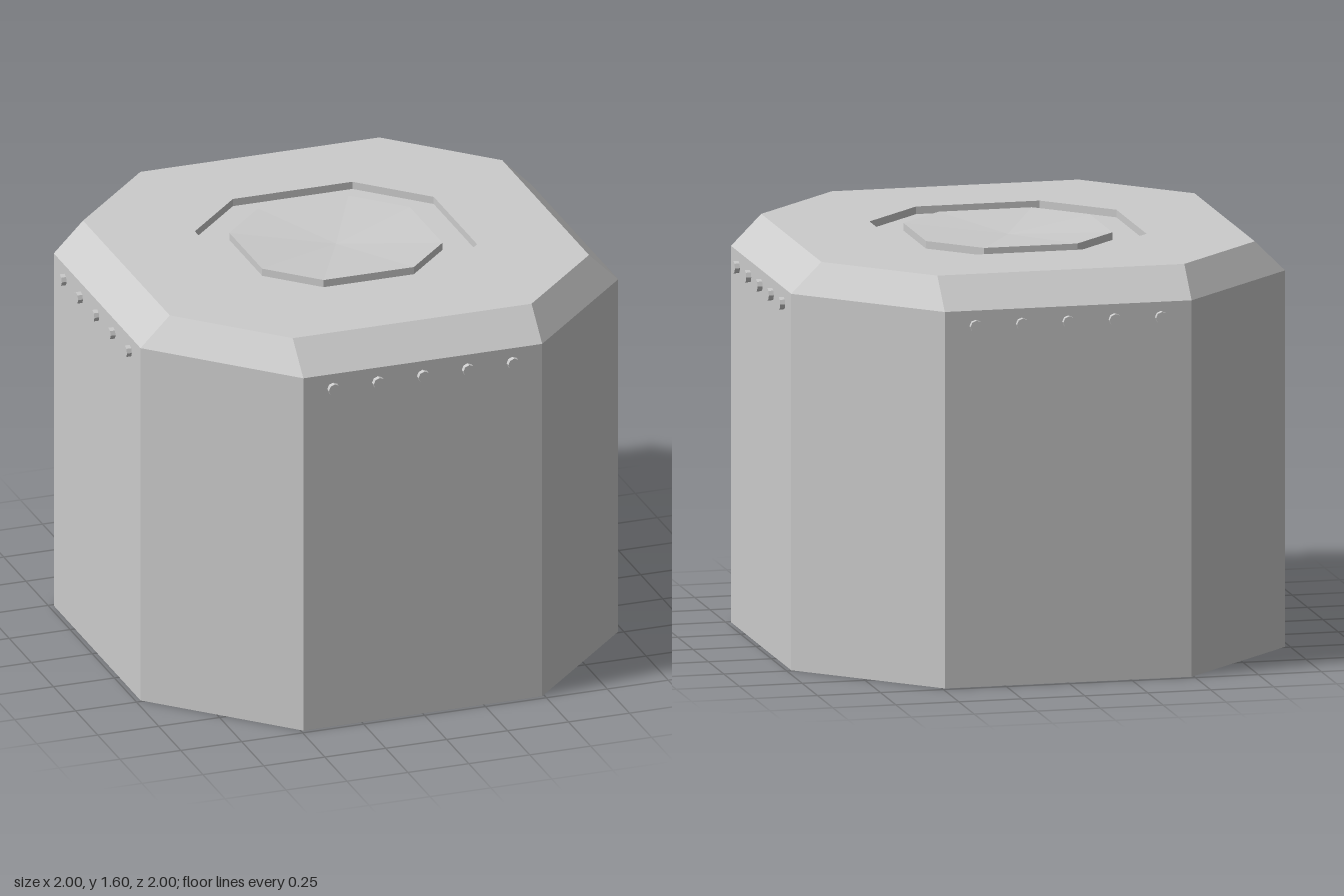
import * as THREE from 'three';

const material = new THREE.MeshStandardMaterial({ color: 0xcccccc, flatShading: true, side: THREE.DoubleSide });

// Octagon ring: flats at distance `half`, corners at +-`corner` along each flat
function ring([half, corner, y]) {
  const h = half, c = corner;
  return [[-c, h], [c, h], [h, c], [h, -c], [c, -h], [-c, -h], [-h, -c], [-h, c]].map(([x, z]) => [x, y, z]);
}

// Skin a series of octagon rings with flat panels
function loft(name, profile) {
  const rings = profile.map(ring);
  const positions = [];
  for (let r = 0; r < rings.length - 1; r++) {
    const collapsed = profile[r + 1][0] === 0;
    for (let i = 0; i < 8; i++) {
      const j = (i + 1) % 8;
      const a = rings[r][i], b = rings[r][j], c = rings[r + 1][j], d = rings[r + 1][i];
      positions.push(...a, ...b, ...c);
      if (!collapsed) positions.push(...a, ...c, ...d);
    }
  }
  const geometry = new THREE.BufferGeometry();
  geometry.setAttribute('position', new THREE.Float32BufferAttribute(positions, 3));
  geometry.computeVertexNormals();
  const mesh = new THREE.Mesh(geometry, material);
  mesh.name = name;
  return mesh;
}

export function createModel() {
  const model = new THREE.Group();
  model.name = 'octagonalHousing';

  // Thin outer wall, open at the bottom
  model.add(loft('outerWall', [[0.98, 0.49, 0], [0.98, 0.49, 1.48]]));

  // Bevelled lid with a sunken groove
  model.add(loft('lid', [
    [0.98, 0.49, 1.48], [0.86, 0.49, 1.6], [0.49, 0.245, 1.6], [0.49, 0.245, 1.57], [0.37, 0.185, 1.57],
  ]));

  // Central plug with a shallow dished top
  model.add(loft('centrePlug', [[0.37, 0.185, 1.57], [0.37, 0.185, 1.6], [0, 0, 1.575]]));

  // Rows of rivets on the four main sides
  const rivetGeometry = new THREE.CylinderGeometry(0.024, 0.024, 0.03, 8).rotateX(Math.PI / 2);
  for (let side = 0; side < 4; side++) {
    const row = new THREE.Group();
    row.name = 'rivetRow';
    row.rotation.y = side * Math.PI / 2;
    for (let i = -2; i <= 2; i++) {
      const rivet = new THREE.Mesh(rivetGeometry, material);
      rivet.name = 'rivet';
      rivet.position.set(i * 0.184, 1.42, 0.985);
      row.add(rivet);
    }
    model.add(row);
  }
  return model;
}
